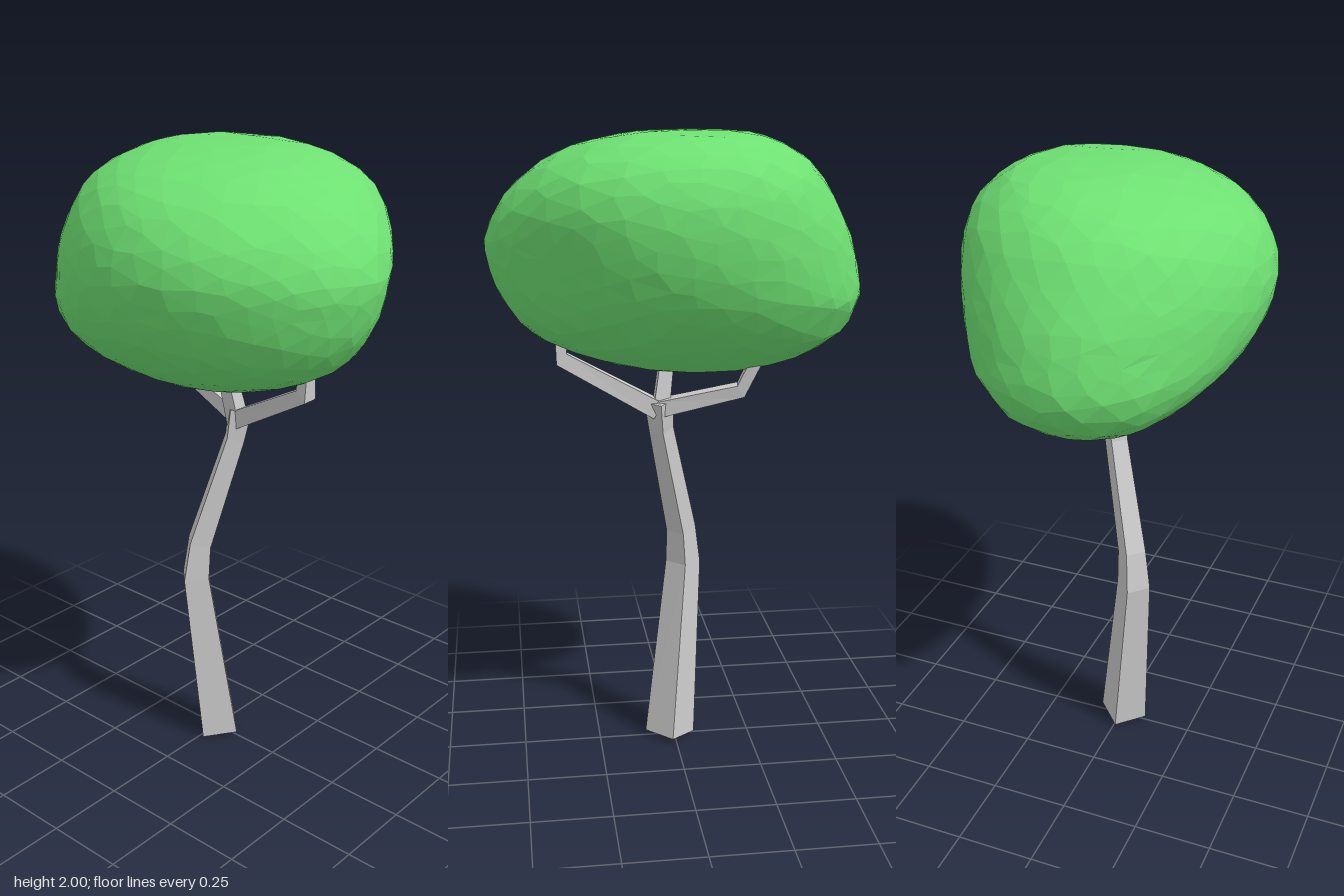
import * as THREE from 'three';

const V = (x, y, z) => new THREE.Vector3(x, y, z);
const { lerp, smoothstep, clamp } = THREE.MathUtils;

// Square-section limb: each row is [x, y, z, half diagonal]
function limb(name, rows, twist, material) {
  const pts = rows.map(r => V(r[0], r[1], r[2]));
  const ref = V(0, 0, 1), pos = [], idx = [];
  pts.forEach((p, i) => {
    const before = pts[Math.max(i - 1, 0)], after = pts[Math.min(i + 1, pts.length - 1)];
    const t = after.clone().sub(before).normalize();
    const u = t.clone().cross(ref).normalize();
    const v = t.clone().cross(u);
    for (let j = 0; j < 4; j++) {
      const a = twist + j * Math.PI / 2;
      const c = p.clone().addScaledVector(u, rows[i][3] * Math.cos(a)).addScaledVector(v, rows[i][3] * Math.sin(a));
      pos.push(c.x, c.y, c.z);
      if (i > 0) {
        const b = (i - 1) * 4, k = (j + 1) % 4;
        idx.push(b + j, b + k, b + 4 + k, b + j, b + 4 + k, b + 4 + j);
      }
    }
  });
  const e = (pts.length - 1) * 4;
  idx.push(0, 2, 1, 0, 3, 2, e, e + 1, e + 2, e, e + 2, e + 3);
  const g = new THREE.BufferGeometry();
  g.setAttribute('position', new THREE.Float32BufferAttribute(pos, 3));
  g.setIndex(idx);
  g.computeVertexNormals();
  const m = new THREE.Mesh(g, material);
  m.name = name;
  return m;
}

// Lopsided leaf mass: a faceted ball mapped onto elliptical levels
function crownGeometry() {
  // [y, min x, max x, min z, max z] from bottom to top
  const levels = [
    [1.26, -0.1, -0.1, 0, 0],
    [1.273, -0.28, 0.1, -0.11, 0.12],
    [1.32, -0.42, 0.29, -0.2, 0.215],
    [1.4, -0.535, 0.45, -0.305, 0.32],
    [1.5, -0.58, 0.53, -0.385, 0.4],
    [1.59, -0.57, 0.563, -0.428, 0.44],
    [1.68, -0.545, 0.575, -0.45, 0.455],
    [1.78, -0.495, 0.533, -0.455, 0.435],
    [1.88, -0.43, 0.44, -0.422, 0.37],
    [1.95, -0.335, 0.315, -0.35, 0.25],
    [1.99, -0.22, 0.15, -0.26, 0.07],
    [2.0, -0.05, -0.05, -0.1, -0.1],
  ];
  // Bulge of each diagonal at [low, middle, high], by quadrant
  const frontLeft = [0.02, -0.04, -0.03], frontRight = [0.04, -0.05, -0.02];
  const backRight = [0.07, 0, 0], backLeft = [0.02, -0.06, 0.08];
  const xs = new THREE.CatmullRomCurve3(levels.map(l => V(l[1], l[0], l[2])));
  const zs = new THREE.CatmullRomCurve3(levels.map(l => V(l[3], l[0], l[4])));
  const g = new THREE.IcosahedronGeometry(1, 6);
  const p = g.attributes.position, d = V(0, 0, 0);
  for (let i = 0; i < p.count; i++) {
    d.fromBufferAttribute(p, i);
    // Uneven facets
    const { x, y, z } = d;
    d.x += 0.035 * Math.sin(23 * y + 17 * z);
    d.y += 0.035 * Math.sin(19 * z + 29 * x);
    d.z += 0.035 * Math.sin(27 * x + 21 * y);
    d.normalize();
    const t = 1 - Math.acos(clamp(d.y, -1, 1)) / Math.PI;
    const a = Math.atan2(d.z, d.x);
    const [low, mid, high] = d.z > 0 ? (d.x > 0 ? frontLeft : frontRight) : (d.x > 0 ? backLeft : backRight);
    const bulge = t < 0.5 ? lerp(low, mid, smoothstep(t, 0.2, 0.5)) : lerp(mid, high, smoothstep(t, 0.5, 0.8));
    const k = 1 + bulge * Math.sin(2 * a) ** 2;
    const cx = xs.getPoint(t), cz = zs.getPoint(t);
    const px = (cx.x + cx.z) / 2 + k * (cx.z - cx.x) / 2 * Math.cos(a);
    const pz = (cz.x + cz.z) / 2 + k * (cz.z - cz.x) / 2 * Math.sin(a);
    p.setXYZ(i, px, Math.min(cx.y, 2), pz);
  }
  g.computeVertexNormals();
  return g;
}

export function createModel() {
  const tree = new THREE.Group();
  tree.name = 'tree';
  const bark = new THREE.MeshStandardMaterial({ color: 0xcccccc, flatShading: true });
  const leaves = new THREE.MeshStandardMaterial({ color: 0x6ee072, flatShading: true });
  const q = Math.PI / 4;

  // Bent trunk, corners facing the axes
  tree.add(limb('trunk', [
    [0.014, 0.01, 0.005, 0.082],
    [-0.038, 0.6, 0.06, 0.057],
    [-0.03, 0.72, 0.05, 0.048],
    [0.045, 1.08, -0.035, 0.039],
    [0.053, 1.175, -0.05, 0.047],
  ], 0, bark));

  // Three branches reaching into the crown
  tree.add(limb('leftBranch', [
    [0.055, 1.145, -0.045, 0.04], [0.35, 1.305, 0.002, 0.033], [0.352, 1.42, 0.005, 0.028],
  ], q, bark));
  tree.add(limb('rightBranch', [
    [0.05, 1.152, -0.05, 0.036], [-0.195, 1.215, -0.105, 0.03], [-0.25, 1.34, -0.125, 0.027],
  ], q, bark));
  tree.add(limb('middleBranch', [
    [0.05, 1.13, -0.045, 0.036], [0.03, 1.27, -0.022, 0.031], [0.025, 1.38, -0.01, 0.028],
  ], q, bark));

  const crown = new THREE.Mesh(crownGeometry(), leaves);
  crown.name = 'crown';
  tree.add(crown);
  return tree;
}
